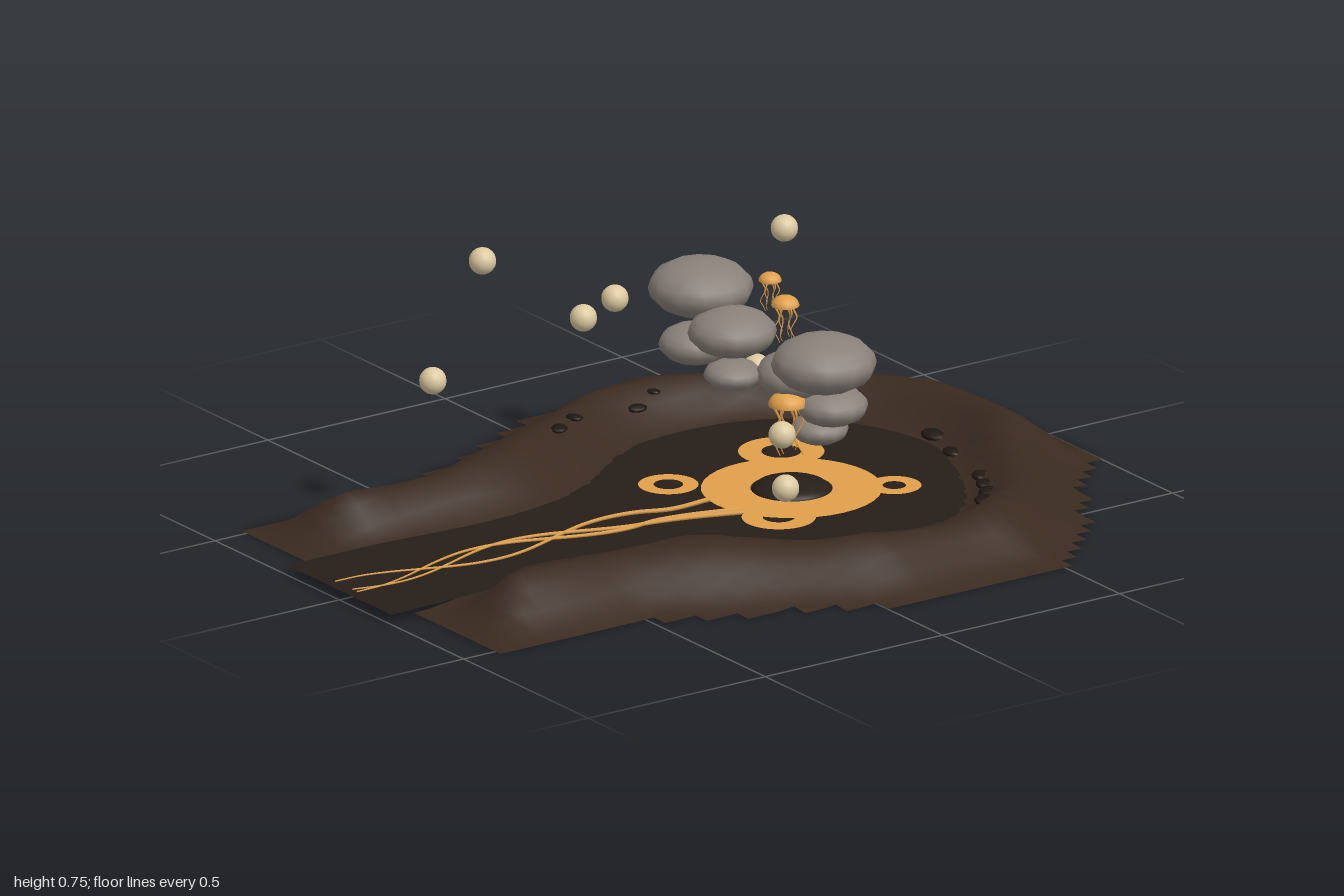
import * as THREE from 'three';

const mat = (color, opts = {}) => new THREE.MeshStandardMaterial({ color, ...opts });
const soil = mat(0x3a2a20, { side: THREE.DoubleSide });
const poolMat = mat(0x261e18, { side: THREE.DoubleSide });
const rockMat = mat(0x1f1712);
const amber = mat(0xe0a04a, { side: THREE.DoubleSide });
const cream = mat(0xdcc9a0);
const stone = mat(0x8a817a);
const POOL_Y = 0.024;

const pts = (list) => list.map(([x, z]) => new THREE.Vector2(x, z));

// Outer edge of the land, in x and z
const landEdge = pts([
  [-0.51, 0.91], [-0.53, 0.5], [-0.6, 0.3], [-0.68, 0.1], [-0.75, -0.03], [-0.78, -0.1], [-0.78, -0.35],
  [-0.74, -0.5], [-0.65, -0.68], [-0.5, -0.84], [-0.38, -0.94], [-0.26, -1.01], [0.17, -1.01], [0.26, -0.92],
  [0.42, -0.81], [0.57, -0.7], [0.66, -0.62], [0.77, -0.5], [0.78, -0.05], [0.7, 0.12], [0.62, 0.3], [0.53, 0.48], [0.51, 0.91],
]);

// Shoreline: a round pool that narrows into a channel
const shore = new THREE.SplineCurve(pts([
  [-0.21, 1], [-0.21, 0.75], [-0.195, 0.5], [-0.21, 0.28], [-0.28, 0.1], [-0.4, -0.07], [-0.45, -0.25], [-0.41, -0.47],
  [-0.29, -0.62], [-0.07, -0.7], [0.13, -0.65], [0.34, -0.53], [0.45, -0.36], [0.47, -0.2], [0.42, -0.05],
  [0.33, 0.07], [0.23, 0.23], [0.19, 0.45], [0.2, 0.75], [0.21, 1],
])).getPoints(76);

// Signed distance to a closed outline, positive inside
function inside(poly, x, z) {
  let best = Infinity, odd = false;
  for (let i = 0, j = poly.length - 1; i < poly.length; j = i++) {
    const a = poly[j], b = poly[i], dx = b.x - a.x, dz = b.y - a.y;
    const t = THREE.MathUtils.clamp(((x - a.x) * dx + (z - a.y) * dz) / (dx * dx + dz * dz || 1), 0, 1);
    best = Math.min(best, Math.hypot(a.x + t * dx - x, a.y + t * dz - z));
    if ((a.y > z) !== (b.y > z) && x < a.x + ((z - a.y) * dx) / dz) odd = !odd;
  }
  return odd ? best : -best;
}

function landHeight(x, z) {
  const rise = THREE.MathUtils.smoothstep(inside(landEdge, x, z), 0, 0.21);
  const bank = -inside(shore, x, z);
  const bumps = 0.007 * Math.sin(9 * x + 5 * z) + 0.006 * Math.sin(13 * z - 7 * x + 1);
  const ridge = (0.093 + bumps) * THREE.MathUtils.smoothstep(bank, 0, 0.14);
  return rise * (POOL_Y - 0.001 + ridge + 0.15 * THREE.MathUtils.clamp(bank, -0.1, 0));
}

// Height grid whose cells are dropped outside the land and under the pool
function landGeometry() {
  const nx = 36, nz = 44, x0 = -0.78, z0 = -1, w = 1.56 / nx, d = 1.91 / nz;
  const pos = [], index = [];
  for (let j = 0; j <= nz; j++) {
    for (let i = 0; i <= nx; i++) {
      const x = x0 + i * w, z = z0 + j * d;
      pos.push(x, landHeight(x, z), z);
      if (i === nx || j === nz) continue;
      const cx = x + w / 2, cz = z + d / 2;
      if (inside(landEdge, cx, cz) < 0 || inside(shore, cx, cz) > 0.05) continue;
      const a = j * (nx + 1) + i, b = a + nx + 1;
      index.push(a, b, a + 1, b, b + 1, a + 1);
    }
  }
  const g = new THREE.BufferGeometry();
  g.setAttribute('position', new THREE.Float32BufferAttribute(pos, 3));
  g.setIndex(index);
  g.computeVertexNormals();
  return g;
}

// Tube that thins from r0 to r1 along its path
function taperedTube(points, steps, r0, r1, sides) {
  const curve = new THREE.CatmullRomCurve3(points);
  const g = new THREE.TubeGeometry(curve, steps, 1, sides);
  const p = g.attributes.position, v = new THREE.Vector3();
  for (let i = 0; i < p.count; i++) {
    const t = Math.floor(i / (sides + 1)) / steps;
    const c = curve.getPointAt(t);
    v.fromBufferAttribute(p, i).sub(c).multiplyScalar(r0 + (r1 - r0) * t).add(c);
    p.setXYZ(i, v.x, v.y, v.z);
  }
  return g;
}

export function createModel() {
  const model = new THREE.Group();
  const add = (parent, name, geo, material, x = 0, y = 0, z = 0) => {
    const m = new THREE.Mesh(geo, material);
    m.name = name;
    m.position.set(x, y, z);
    parent.add(m);
    return m;
  };

  // Land and pool
  add(model, 'land', landGeometry(), soil);
  const poolGeo = new THREE.ShapeGeometry(new THREE.Shape(shore)).rotateX(Math.PI / 2);
  // Turn the sheet so that its front faces up
  const idx = poolGeo.index.array;
  for (let i = 0; i < idx.length; i += 3) [idx[i], idx[i + 1]] = [idx[i + 1], idx[i]];
  poolGeo.computeVertexNormals();
  add(model, 'pool', poolGeo, poolMat, 0, POOL_Y, 0);

  // Dark rocks along the bank: x, z, size, turn
  const ball = new THREE.SphereGeometry(1, 10, 7);
  [
    [-0.335, -0.665, 0.042, 0.6], [-0.07, -0.725, 0.036, 0], [0.04, -0.7, 0.028, -0.2], [0.24, -0.64, 0.028, -0.5],
    [0.3, -0.61, 0.028, -0.6], [0.37, -0.57, 0.03, -0.7], [0.44, -0.51, 0.03, -0.9], [0.5, -0.34, 0.026, 1.5],
    [0.53, -0.23, 0.025, 1.2], [0.41, -0.025, 0.022, 1.1], [-0.54, -0.265, 0.018, 0.4], [-0.515, -0.2, 0.026, 1.3],
    [-0.48, 0, 0.022, 0.3], [-0.435, 0.075, 0.026, -0.8],
  ].forEach(([x, z, s, turn]) => {
    const rock = add(model, 'bankRock', ball, rockMat, x, landHeight(x, z) + 0.003, z);
    rock.scale.set(s, s * 0.35, s * 0.75);
    rock.rotation.y = turn;
  });

  // Amber rings lying on the pool: x, z, outer radius, inner radius
  [
    [0.03, -0.255, 0.21, 0.095], [-0.19, -0.38, 0.1, 0.046], [0.155, -0.457, 0.063, 0.027],
    [0.185, -0.11, 0.086, 0.037], [-0.145, -0.03, 0.07, 0.034],
  ].forEach(([x, z, outer, inner], i) => {
    const ring = new THREE.RingGeometry(inner, outer, 36).rotateX(-Math.PI / 2);
    add(model, 'poolRing', ring, amber, x, POOL_Y + 0.004 + i * 0.001, z);
  });
  const vent = new THREE.SphereGeometry(1, 24, 6, 0, Math.PI * 2, 0, Math.PI / 2);
  add(model, 'ventMound', vent, poolMat, 0.03, POOL_Y, -0.255).scale.set(0.093, 0.028, 0.093);

  // Braided strands running down the channel
  [[-0.01, -0.05, 0.5], [0.09, -0.08, 1.5], [0.12, -0.1, 1.75]].forEach(([x, z, phase]) => {
    const path = [new THREE.Vector3(x, POOL_Y + 0.006, z), new THREE.Vector3(x * 0.55, POOL_Y + 0.006, 0.06)];
    for (let s = 0.14; s < 0.99; s += 0.07) {
      const swing = 0.045 * Math.sin(((s - 0.4) / 0.37 + phase - 0.5) * Math.PI);
      path.push(new THREE.Vector3(swing, POOL_Y + 0.005, s));
    }
    add(model, 'strand', taperedTube(path, 80, 0.006, 0.0018, 5), amber);
  });

  // Stack of flattened stones: x, y, z, radius, half height
  const pebble = new THREE.SphereGeometry(1, 12, 10);
  [
    [0.035, 0.16, -0.33, 0.068, 0.035], [0.07, 0.225, -0.34, 0.085, 0.046], [-0.01, 0.287, -0.3, 0.098, 0.056],
    [0.11, 0.35, -0.29, 0.123, 0.067], [-0.1, 0.285, -0.18, 0.068, 0.035], [-0.18, 0.348, -0.13, 0.085, 0.047],
    [-0.045, 0.413, -0.14, 0.104, 0.056], [-0.193, 0.477, -0.155, 0.123, 0.067],
  ].forEach(([x, y, z, r, h]) => add(model, 'floatingStone', pebble, stone, x, y, z).scale.set(r, h, r));

  // Cream orbs drifting in the air
  const orb = new THREE.SphereGeometry(0.032, 16, 12);
  [
    [-0.08, 0.714, 0.54], [0.025, 0.592, 0.24], [-0.324, 0.516, -0.483], [-0.14, 0.423, 0.638],
    [-0.565, 0.307, -0.085], [-0.197, 0.246, -0.315], [0.17, 0.224, -0.13], [0.308, 0.151, -0.043],
  ].forEach(([x, y, z]) => add(model, 'orb', orb, cream, x, y, z));

  // Bell-shaped floaters with wavy tentacles: x, y, z, bell radius
  const bell = new THREE.SphereGeometry(1, 14, 6, 0, Math.PI * 2, 0, Math.PI / 2);
  [[0.11, 0.583, -0.138, 0.027], [-0.145, 0.403, -0.36, 0.033], [0.035, 0.236, -0.24, 0.045]].forEach(([x, y, z, r]) => {
    const floater = new THREE.Group();
    floater.name = 'floater';
    floater.position.set(x, y, z);
    floater.scale.setScalar(r);
    model.add(floater);
    add(floater, 'bell', bell, amber).scale.y = 0.75;
    for (let k = 0; k < 6; k++) {
      const a = (k * Math.PI) / 3, path = [];
      for (let s = 0; s <= 6; s++) {
        const reach = 0.6 + 0.22 * Math.sin(s * 1.5 + k);
        path.push(new THREE.Vector3(Math.cos(a) * reach, -s * (0.38 + 0.04 * (k % 3)), Math.sin(a) * reach));
      }
      add(floater, 'tentacle', taperedTube(path, 16, 0.08, 0.03, 4), amber);
    }
  });

  return model;
}
